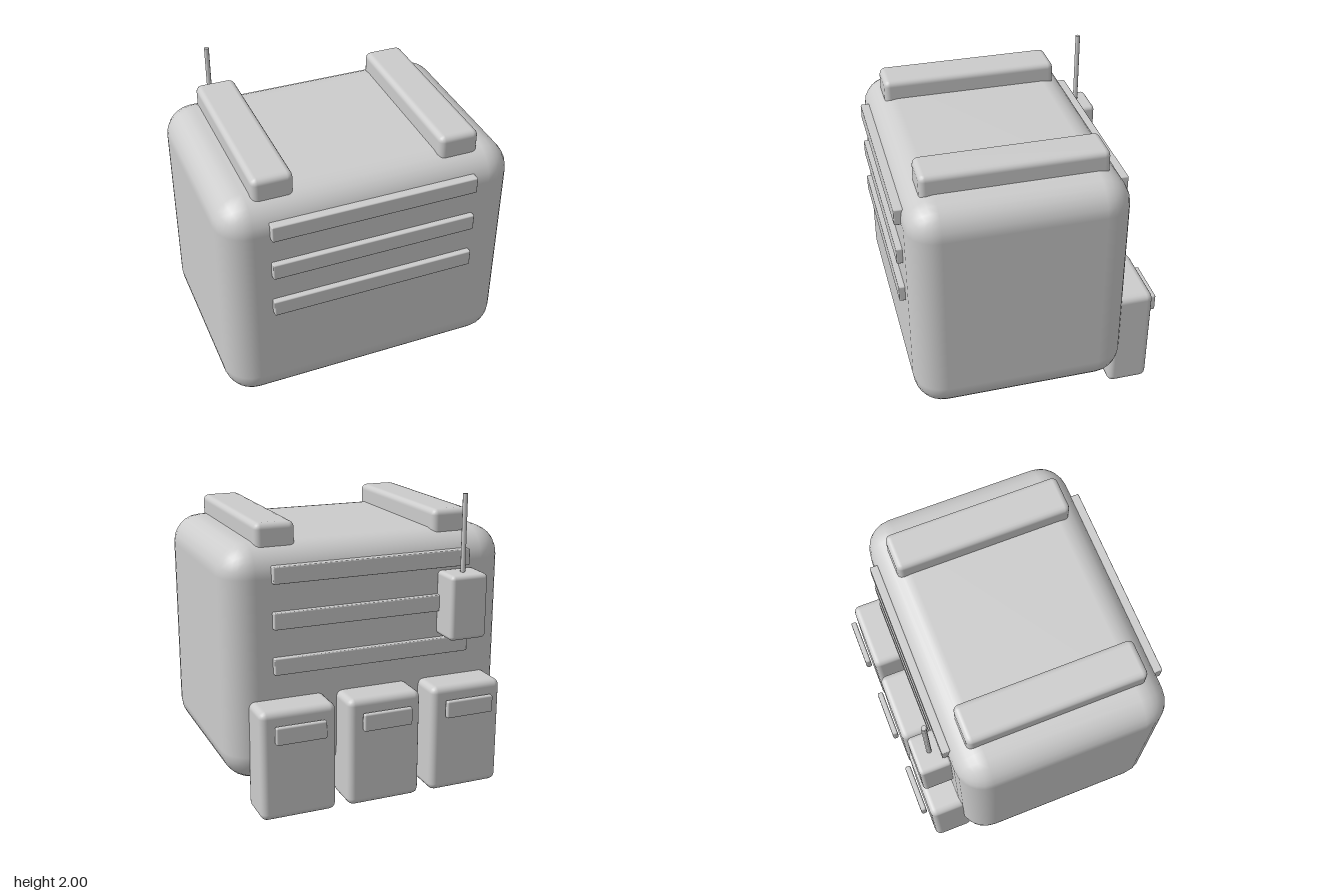
import * as THREE from 'three';
import { RoundedBoxGeometry } from 'three/addons/geometries/RoundedBoxGeometry.js';

export function createModel() {
  const model = new THREE.Group();
  model.name = 'backpack';
  const grey = new THREE.MeshStandardMaterial({ color: 0xcccccc });
  grey.name = 'plain grey';

  // Rounded block given by its [min, max] extent on each axis
  function block(name, [x0, x1], [y0, y1], [z0, z1], radius, segments = 2) {
    const geometry = new RoundedBoxGeometry(x1 - x0, y1 - y0, z1 - z0, segments, radius);
    const mesh = new THREE.Mesh(geometry, grey);
    mesh.name = name;
    mesh.position.set((x0 + x1) / 2, (y0 + y1) / 2, (z0 + z1) / 2);
    model.add(mesh);
  }
  const around = (centre, size) => [centre - size / 2, centre + size / 2];

  // Main pack
  block('body', [-0.99, 0.99], [0.155, 1.735], [-0.6, 0.835], 0.2, 3);

  // Three slats on the front and three on the back
  for (const y of [1.56, 1.265, 0.965]) {
    block('frontSlat', [-0.688, 0.688], around(y, 0.112), [0.81, 0.875], 0.008, 1);
    block('backSlat', [-0.688, 0.688], around(y, 0.112), [-0.638, -0.58], 0.008, 1);
  }

  // Rails along the top
  for (const side of [-1, 1]) {
    block('topRail', around(side * 0.62, 0.268), [1.66, 1.863], [-0.488, 0.72], 0.04);
  }

  // Back pouches, each with a closing strip
  for (const x of [-0.597, 0, 0.597]) {
    block('pouch', around(x, 0.512), [0, 0.74], [-0.82, -0.535], 0.045);
    block('pouchStrip', around(x, 0.342), around(0.595, 0.12), [-0.875, -0.835], 0.012, 1);
  }

  // Radio and its aerial
  block('radio', around(-0.6, 0.265), [1.045, 1.482], [-0.808, -0.585], 0.028);
  const aerial = new THREE.Mesh(new THREE.CylinderGeometry(0.017, 0.017, 0.54, 8), grey);
  aerial.name = 'aerial';
  aerial.position.set(-0.6, 1.73, -0.7);
  model.add(aerial);

  return model;
}
